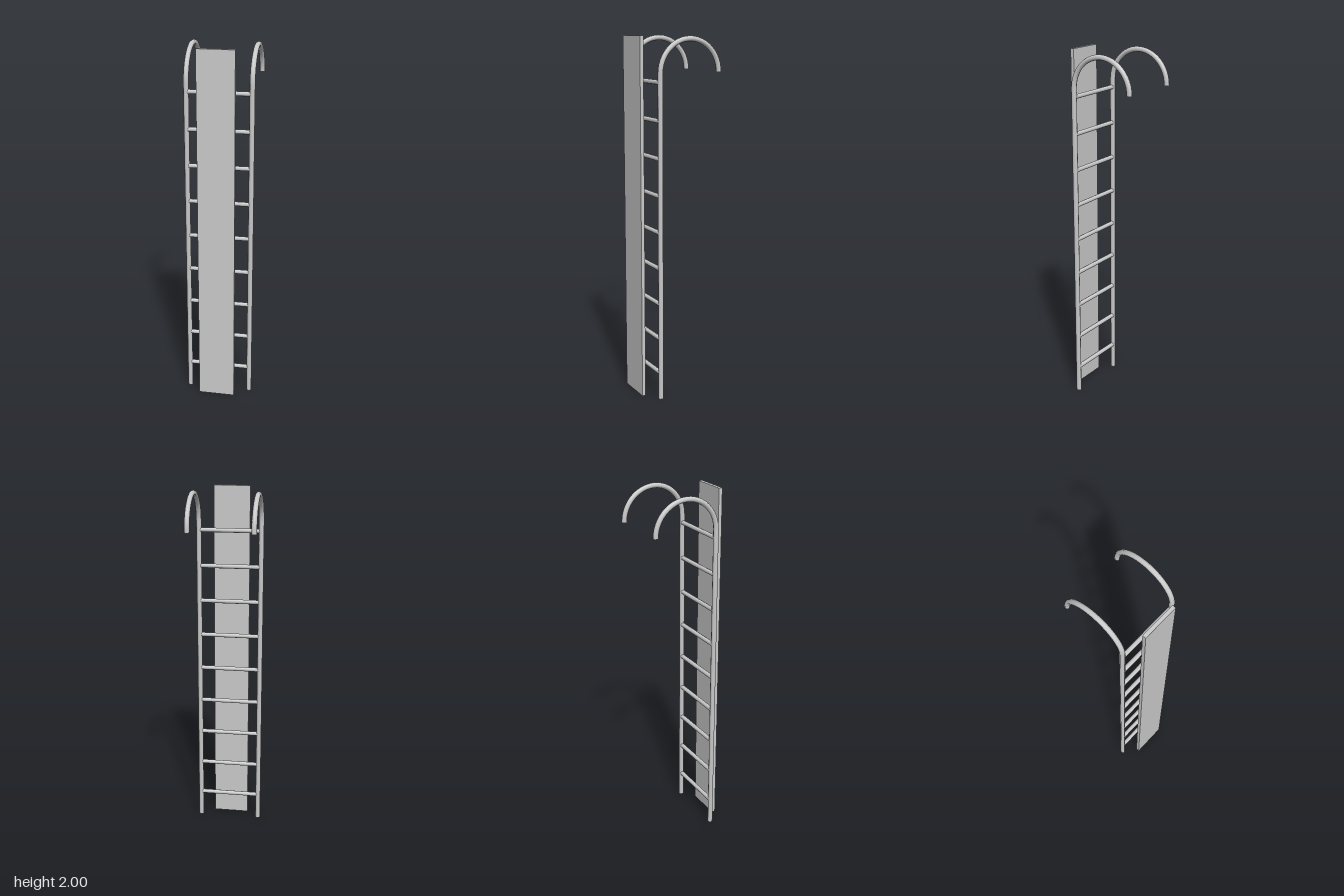
import * as THREE from 'three';

const material = new THREE.MeshStandardMaterial({ color: 0xcccccc });
const SIDES = 8;
const RAIL_R = 0.0145;
const RAIL_X = 0.174;
const RAIL_Z = 0.147;
const HOOK_R = 0.177;
const HOOK_Y = 2 - HOOK_R - RAIL_R;

function part(name, geometry, x, y, z) {
  const mesh = new THREE.Mesh(geometry, material);
  mesh.name = name;
  mesh.position.set(x, y, z);
  return mesh;
}

// Upright tube that curls over backwards into a half-circle grab hook
function createRail(name, x) {
  const rail = new THREE.Group();
  rail.name = name;
  rail.position.x = x;

  const post = new THREE.CylinderGeometry(RAIL_R, RAIL_R, HOOK_Y, SIDES);
  rail.add(part('post', post, 0, HOOK_Y / 2, RAIL_Z));

  const bend = new THREE.TorusGeometry(HOOK_R, RAIL_R, SIDES, 24, Math.PI);
  bend.rotateY(-Math.PI / 2);
  rail.add(part('hook', bend, 0, HOOK_Y, RAIL_Z - HOOK_R));

  const cap = new THREE.CircleGeometry(RAIL_R, SIDES);
  cap.rotateZ(Math.PI / 2).rotateX(Math.PI / 2);
  rail.add(part('hookEnd', cap, 0, HOOK_Y, RAIL_Z - 2 * HOOK_R));
  return rail;
}

export function createModel() {
  const model = new THREE.Group();
  model.name = 'ladder';

  model.add(createRail('leftRail', RAIL_X), createRail('rightRail', -RAIL_X));

  // Nine evenly spaced rungs between the rails
  const rung = new THREE.CylinderGeometry(0.0125, 0.0125, RAIL_X * 2, SIDES);
  rung.rotateZ(Math.PI / 2);
  for (let i = 0; i < 9; i++) {
    model.add(part(`rung${i + 1}`, rung, 0, 0.153 + i * 0.2012, RAIL_Z));
  }

  // Flat guard board standing in front of the rungs
  const board = new THREE.BoxGeometry(0.202, 2, 0.02);
  model.add(part('guardBoard', board, -0.003, 1, 0.215));

  return model;
}
